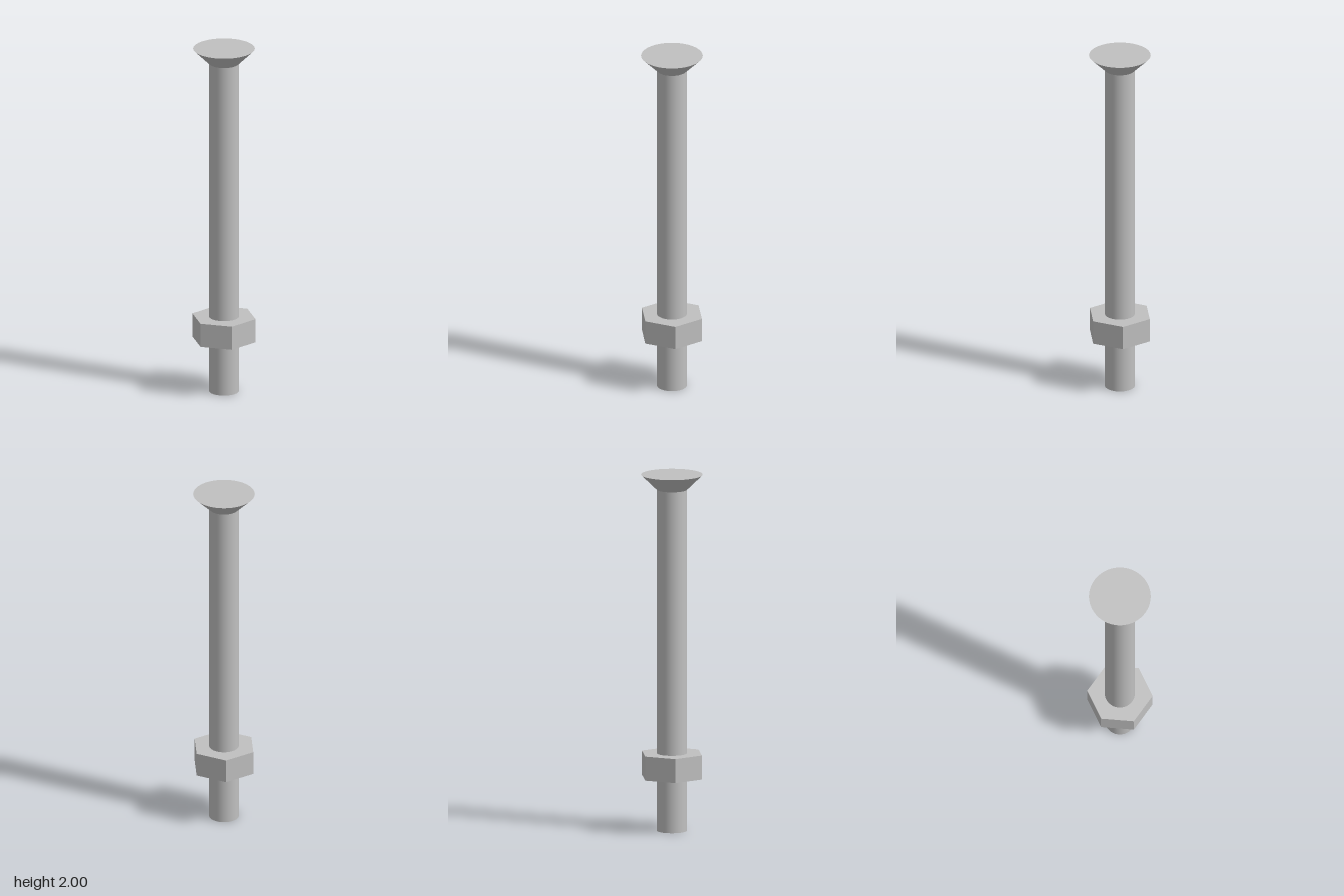
import * as THREE from 'three';

const SHAFT_R = 0.083, HEAD_R = 0.17, HEAD_Y = 1.915, TOP_Y = 2;
const NUT_R = 0.181, NUT_Y = 0.3, NUT_H = 0.135;

export function createModel() {
  const bolt = new THREE.Group();
  bolt.name = 'boltWithNut';
  const steel = new THREE.MeshStandardMaterial({ color: 0xc0c0c0 });
  steel.name = 'steel grey';

  const add = (name, geometry, y) => {
    const mesh = new THREE.Mesh(geometry, steel);
    mesh.name = name;
    mesh.position.y = y;
    bolt.add(mesh);
  };

  // Plain round shaft
  add('shaft', new THREE.CylinderGeometry(SHAFT_R, SHAFT_R, HEAD_Y, 64), HEAD_Y / 2);

  // Countersunk head with a flat top
  const headH = TOP_Y - HEAD_Y;
  add('countersunkHead', new THREE.CylinderGeometry(HEAD_R, SHAFT_R, headH, 64), HEAD_Y + headH / 2);

  // Hexagonal nut with corners on the x axis, bored to grip the shaft
  const hexagon = new THREE.Shape();
  for (let i = 0; i < 6; i++) {
    const a = (i * Math.PI) / 3;
    hexagon[i ? 'lineTo' : 'moveTo'](NUT_R * Math.cos(a), NUT_R * Math.sin(a));
  }
  hexagon.closePath();
  hexagon.holes.push(new THREE.Path().absarc(0, 0, SHAFT_R - 0.001, 0, Math.PI * 2, true));
  const nut = new THREE.ExtrudeGeometry(hexagon, { depth: NUT_H, bevelEnabled: false, curveSegments: 32 });
  nut.rotateX(-Math.PI / 2);
  add('hexNut', nut, NUT_Y);

  return bolt;
}
